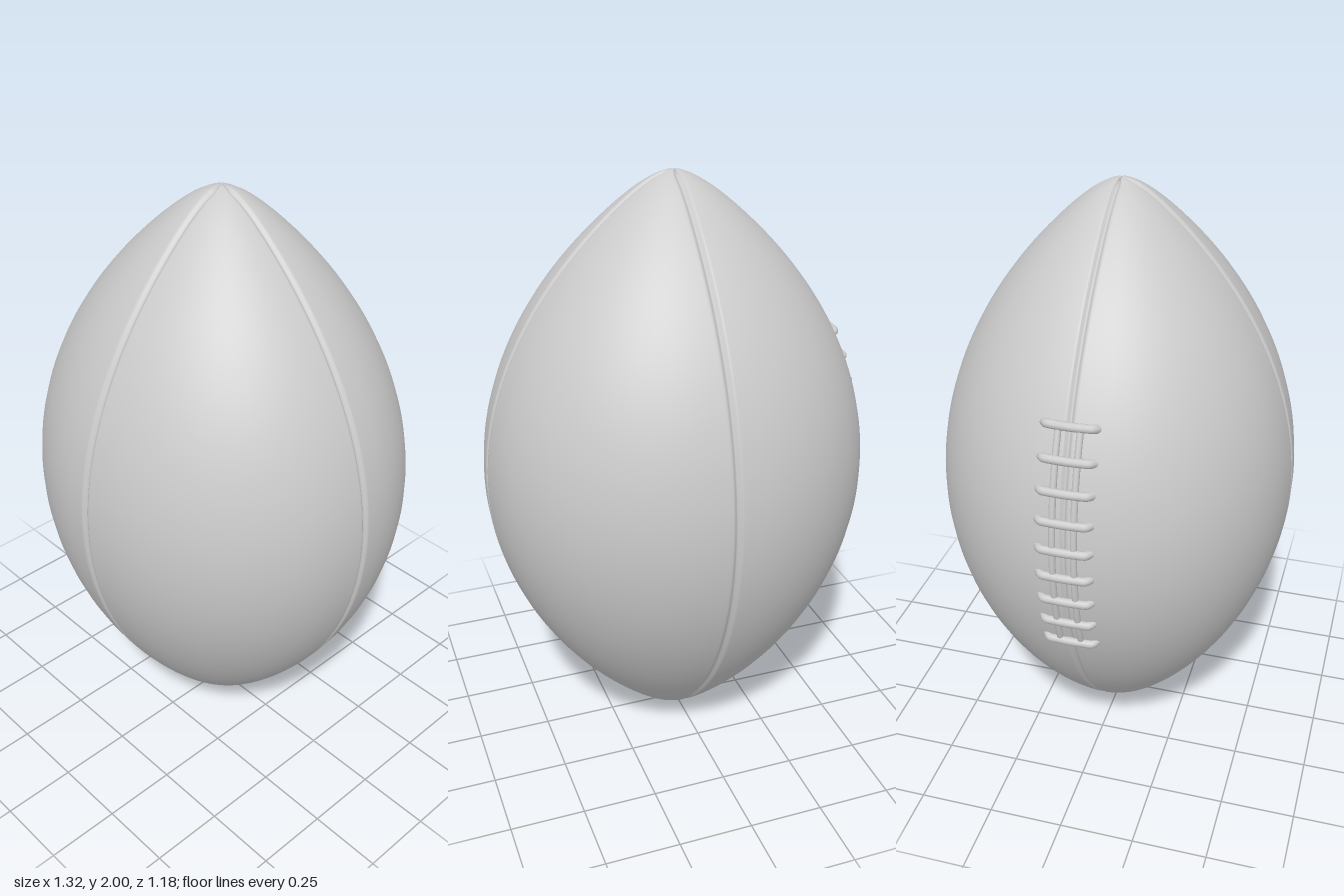
import * as THREE from 'three';

const A = 0.65, B = 0.592, CX = 0.005; // half widths in x and z, small x offset
const material = new THREE.MeshStandardMaterial({ color: 0xcccccc });

// Relative radius at t = -1..1 along the long axis: pointed oval with rounded tips
function profile(t) {
  const s = Math.sqrt(Math.max(0, 1 - t * t));
  return Math.pow(s, 1.6) + 0.15 * s * Math.pow(t, 16);
}

// Point on the smooth body at height y and sideways position z, on the laced (-x) side
function lacedSide(y, z, lift) {
  const f = profile(y - 1);
  const x = -A * f * Math.sqrt(1 - (z / (B * f)) ** 2);
  const n = new THREE.Vector3(x / (A * A), (y - 1) * 1.3, z / (B * B)).normalize();
  return new THREE.Vector3(x + CX, y, z).addScaledVector(n, lift);
}

// Four-panel body with a narrow groove along each seam
function bodyGeometry() {
  const rows = 96, inner = 14;
  const grooveSteps = [0, 0.35, 0.7, 1, 1.4]; // multiples of groove half width
  const halfWidth = 0.014, depth = 0.011;
  const positions = [], index = [];
  const perPanel = grooveSteps.length * 2 - 1 + inner;
  const cols = perPanel * 4;

  const push = (x, t, z, d) => {
    const n = new THREE.Vector3(x / (A * A), t, z / (B * B)).normalize();
    positions.push(x + CX - n.x * d, 1 + t - n.y * d, z - n.z * d);
  };

  push(0, -1, 0, depth);
  for (let i = 1; i < rows; i++) {
    const t = -Math.cos((i / rows) * Math.PI);
    const f = profile(t);
    const unit = Math.min(halfWidth / (f * 0.62), 0.3);
    const edge = unit * grooveSteps.at(-1);
    for (let q = 0; q < 4; q++) {
      const angles = grooveSteps.map((g) => g * unit);
      for (let k = 1; k <= inner; k++) angles.push(edge + (Math.PI / 2 - 2 * edge) * (k / (inner + 1)));
      for (let k = grooveSteps.length - 1; k > 0; k--) angles.push(Math.PI / 2 - grooveSteps[k] * unit);
      for (const a of angles) {
        const g = Math.min(a, Math.PI / 2 - a) / unit;
        const d = g < 1 ? depth * 0.5 * (1 + Math.cos(Math.PI * g)) : 0;
        const phi = a + (q * Math.PI) / 2;
        push(A * f * Math.cos(phi), t, B * f * Math.sin(phi), d);
      }
    }
  }
  push(0, 1, 0, depth);

  const top = positions.length / 3 - 1;
  for (let j = 0; j < cols; j++) {
    const k = (j + 1) % cols;
    index.push(0, 1 + j, 1 + k);
    for (let i = 0; i < rows - 2; i++) {
      const p = 1 + i * cols, q = p + cols;
      index.push(p + j, q + j, p + k, p + k, q + j, q + k);
    }
    const last = 1 + (rows - 2) * cols;
    index.push(last + j, top, last + k);
  }
  const geometry = new THREE.BufferGeometry();
  geometry.setAttribute('position', new THREE.Float32BufferAttribute(positions, 3));
  geometry.setIndex(index);
  geometry.computeVertexNormals();
  return geometry;
}

// Round cord along a list of points, with ball ends
function cord(name, points, radius) {
  const group = new THREE.Group();
  group.name = name;
  const curve = new THREE.CatmullRomCurve3(points);
  group.add(new THREE.Mesh(new THREE.TubeGeometry(curve, 28, radius, 10), material));
  for (const p of [points[0], points.at(-1)]) {
    const cap = new THREE.Mesh(new THREE.SphereGeometry(radius, 10, 8), material);
    cap.position.copy(p);
    group.add(cap);
  }
  group.children.forEach((m) => { m.name = name; });
  return group;
}

export function createModel() {
  const model = new THREE.Group();
  model.name = 'ball';

  const body = new THREE.Mesh(bodyGeometry(), material);
  body.name = 'panelledBody';
  model.add(body);

  const laces = new THREE.Group();
  laces.name = 'laces';
  model.add(laces);

  // Cross laces, their ends sinking into the body
  const low = 0.67, high = 1.425, count = 9;
  for (let i = 0; i < count; i++) {
    const y = low + ((high - low) * i) / (count - 1);
    const points = [-0.082, -0.07, -0.04, 0, 0.04, 0.07, 0.082].map((z) =>
      lacedSide(y, z, Math.abs(z) > 0.08 ? -0.006 : 0.006));
    laces.add(cord('crossLace', points, 0.014));
  }

  // Two long laces running beneath the cross laces
  for (const z of [-0.034, 0.034]) {
    const points = [];
    for (let i = 0; i <= 10; i++) points.push(lacedSide(low + ((high - low) * i) / 10, z, 0.001));
    laces.add(cord('longLace', points, 0.011));
  }
  return model;
}
